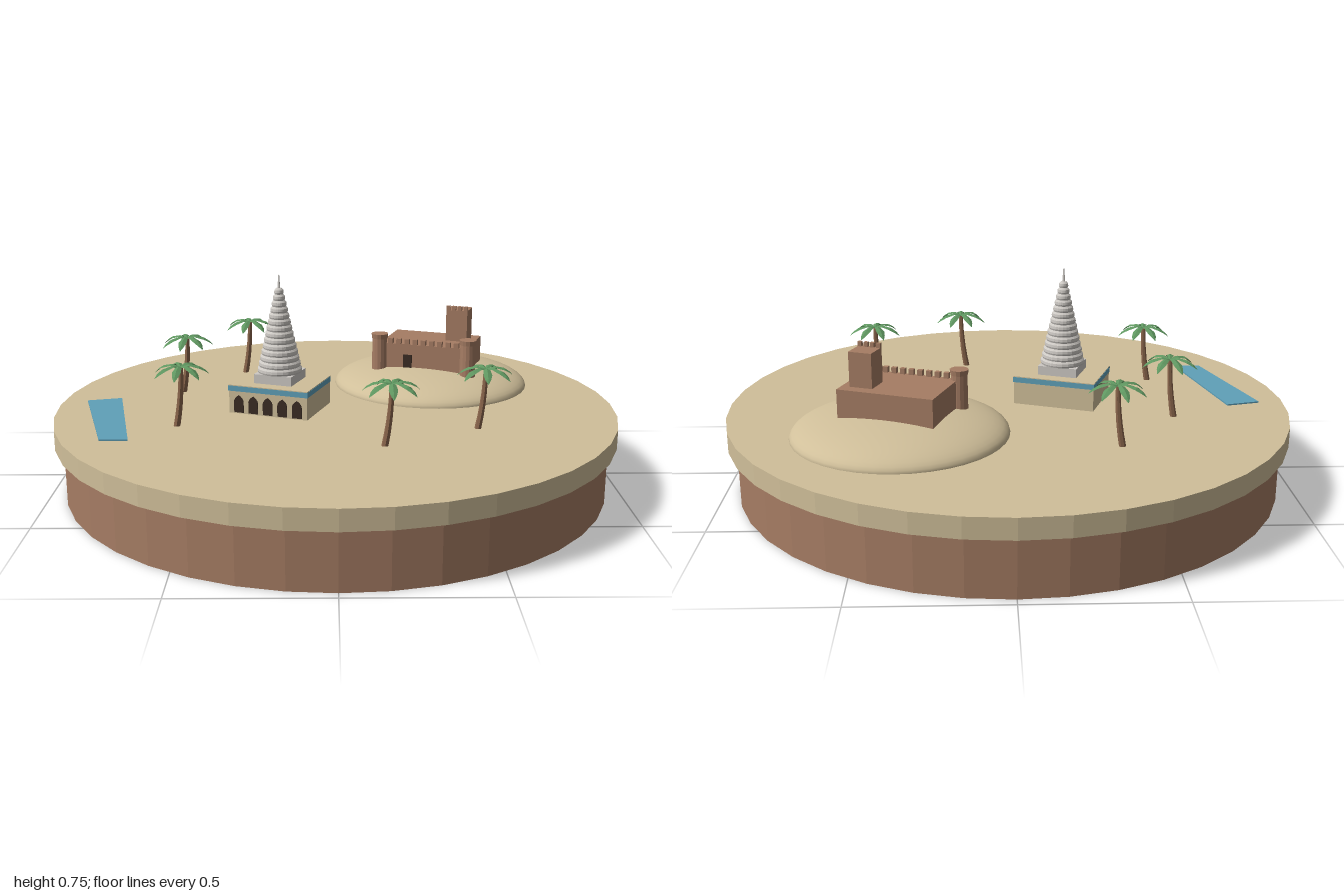
import * as THREE from 'three';

const mat = (name, color, extra = {}) =>
  Object.assign(new THREE.MeshStandardMaterial({ color, ...extra }), { name });

export function createModel() {
  const flat = { flatShading: true };
  const sand = mat('sand', 0xd0bf9a, flat);
  const smoothSand = mat('smooth sand', 0xd0bf9a);
  const clay = mat('clay', 0xa67d64, flat);
  const bark = mat('bark', 0x8c674d, flat);
  const leaf = mat('leaf green', 0x5f9660, { ...flat, side: THREE.DoubleSide });
  const water = mat('water blue', 0x5fa0b8, flat);
  const stone = mat('pale stone', 0xcdc9c4, flat);
  const dark = mat('dark opening', 0x3a2c24, flat);

  const model = new THREE.Group();
  model.name = 'desertIsland';
  const GROUND = 0.27;

  const add = (parent, name, geo, material, x = 0, y = 0, z = 0) => {
    const m = new THREE.Mesh(geo, material);
    m.name = name;
    m.position.set(x, y, z);
    parent.add(m);
    return m;
  };
  // box placed by the centre of its bottom face
  const box = (parent, name, material, w, h, d, x, y, z) =>
    add(parent, name, new THREE.BoxGeometry(w, h, d), material, x, y + h / 2, z);
  const group = (name, x, y, z, turn = 0) => {
    const g = new THREE.Group();
    g.name = name;
    g.position.set(x, y, z);
    g.rotation.y = turn;
    model.add(g);
    return g;
  };

  // Round base with an overhanging sand disc
  add(model, 'earthBase', new THREE.CylinderGeometry(0.97, 0.97, 0.2, 40), clay, 0, 0.1, 0);
  add(model, 'sandDisc', new THREE.CylinderGeometry(1, 1, 0.07, 40), sand, 0, 0.235, 0);

  // Pool: thin four-cornered slab
  const poolShape = new THREE.Shape(
    [[-0.91, -0.04], [-0.79, -0.07], [-0.685, 0.41], [-0.78, 0.41]].map(p => new THREE.Vector2(...p)));
  const poolGeo = new THREE.ExtrudeGeometry(poolShape, { depth: 0.005, bevelEnabled: false });
  poolGeo.rotateX(Math.PI / 2);
  add(model, 'pool', poolGeo, water, 0, GROUND + 0.005, 0);

  // Hill: flattened half dome
  const hill = new THREE.SphereGeometry(0.37, 40, 14, 0, Math.PI * 2, 0, Math.PI / 2);
  hill.scale(1, 0.086 / 0.37, 1);
  add(model, 'hill', hill, smoothSand, 0.37, GROUND, -0.31);

  // Fort on the hill
  const fort = group('fort', 0.372, 0.335, -0.31, -0.35);
  box(fort, 'fortWalls', clay, 0.34, 0.105, 0.235, 0, 0, 0);
  for (let i = 0; i < 9; i++)
    box(fort, 'wallBattlement', clay, 0.018, 0.02, 0.016, -0.128 + i * 0.032, 0.105, 0.1125);
  box(fort, 'fortDoor', dark, 0.034, 0.05, 0.006, -0.06, 0.015, 0.1185);
  box(fort, 'keep', clay, 0.082, 0.125, 0.082, 0.1, 0.1, -0.037);
  for (let i = 0; i < 4; i++)
    box(fort, 'keepBattlement', clay, 0.014, 0.016, 0.012, 0.066 + i * 0.0227, 0.225, -0.001);
  for (const s of [-1, 1]) {
    add(fort, 'cornerTower', new THREE.CylinderGeometry(0.028, 0.03, 0.14, 14), clay, s * 0.172, 0.055, 0.115);
    add(fort, 'towerRim', new THREE.CylinderGeometry(0.032, 0.03, 0.018, 14), clay, s * 0.172, 0.131, 0.115);
  }

  // Temple hall with a blue band and an arcade
  const temple = group('temple', -0.2, GROUND, 0.038, -0.35);
  box(temple, 'hall', sand, 0.295, 0.085, 0.232, 0, 0, 0);
  box(temple, 'blueBand', water, 0.3, 0.019, 0.237, 0, 0.081, 0);
  box(temple, 'roof', sand, 0.298, 0.004, 0.235, 0, 0.099, 0);
  const arch = new THREE.Shape();
  arch.moveTo(-0.018, 0);
  arch.lineTo(0.018, 0);
  arch.lineTo(0.018, 0.04);
  arch.quadraticCurveTo(0.016, 0.054, 0, 0.063);
  arch.quadraticCurveTo(-0.016, 0.054, -0.018, 0.04);
  const archGeo = new THREE.ExtrudeGeometry(arch, { depth: 0.004, bevelEnabled: false, curveSegments: 4 });
  for (let i = -2; i <= 2; i++) add(temple, 'archway', archGeo, dark, i * 0.055, 0.004, 0.115);

  // Tiered spire on a square plinth
  box(temple, 'plinth', stone, 0.142, 0.033, 0.142, 0, 0.103, 0);
  const profile = [new THREE.Vector2(0.078, 0.136)];
  const TIERS = 14;
  for (let i = 0; i < TIERS; i++) {
    const r = 0.08 - 0.068 * (i / TIERS), y = 0.136 + i * 0.0215;
    profile.push(new THREE.Vector2(r, y + 0.006), new THREE.Vector2(r - 0.001, y + 0.015),
      new THREE.Vector2(r - 0.007, y + 0.0215));
  }
  profile.push(new THREE.Vector2(0, 0.438));
  add(temple, 'tieredSpire', new THREE.LatheGeometry(profile, 24), stone);
  add(temple, 'finial', new THREE.CylinderGeometry(0.002, 0.006, 0.055, 8), stone, 0, 0.456, 0);

  // Palm frond: ridged leaf from cross-sections [distance, height, half width]
  const sections = [[0, 0, 0.004], [0.03, 0.008, 0.011], [0.062, 0.001, 0.015], [0.082, -0.012, 0.01], [0.097, -0.028, 0.001]];
  const pos = [], idx = [];
  sections.forEach(([d, h, w], i) => {
    pos.push(d, h - w * 0.4, -w, d, h, 0, d, h - w * 0.4, w);
    if (i === 0) return;
    const b = i * 3, a = b - 3;
    for (const k of [0, 1]) idx.push(a + k, a + k + 1, b + k, b + k, a + k + 1, b + k + 1);
  });
  const frondGeo = new THREE.BufferGeometry();
  frondGeo.setAttribute('position', new THREE.Float32BufferAttribute(pos, 3));
  frondGeo.setIndex(idx);
  frondGeo.computeVertexNormals();

  // Leaning, slightly curved tapered trunk
  const trunkGeo = new THREE.CylinderGeometry(0.008, 0.012, 0.205, 7, 5);
  trunkGeo.translate(0, 0.1025, 0);
  const tp = trunkGeo.attributes.position;
  for (let i = 0; i < tp.count; i++) {
    const t = 1 - tp.getY(i) / 0.205;
    tp.setX(i, tp.getX(i) - 0.02 * t * t);
  }

  const palms = [[-0.34, -0.46], [-0.555, -0.175], [-0.525, 0.25], [0.5, 0.285], [0.175, 0.465]];
  palms.forEach(([x, z], n) => {
    const palm = group('palm', x, GROUND, z);
    add(palm, 'trunk', trunkGeo, bark);
    for (let i = 0; i < 7; i++)
      add(palm, 'frond', frondGeo, leaf, 0, 0.208, 0).rotation.y = n * 0.06 + (i * Math.PI * 2) / 7;
  });

  return model;
}
